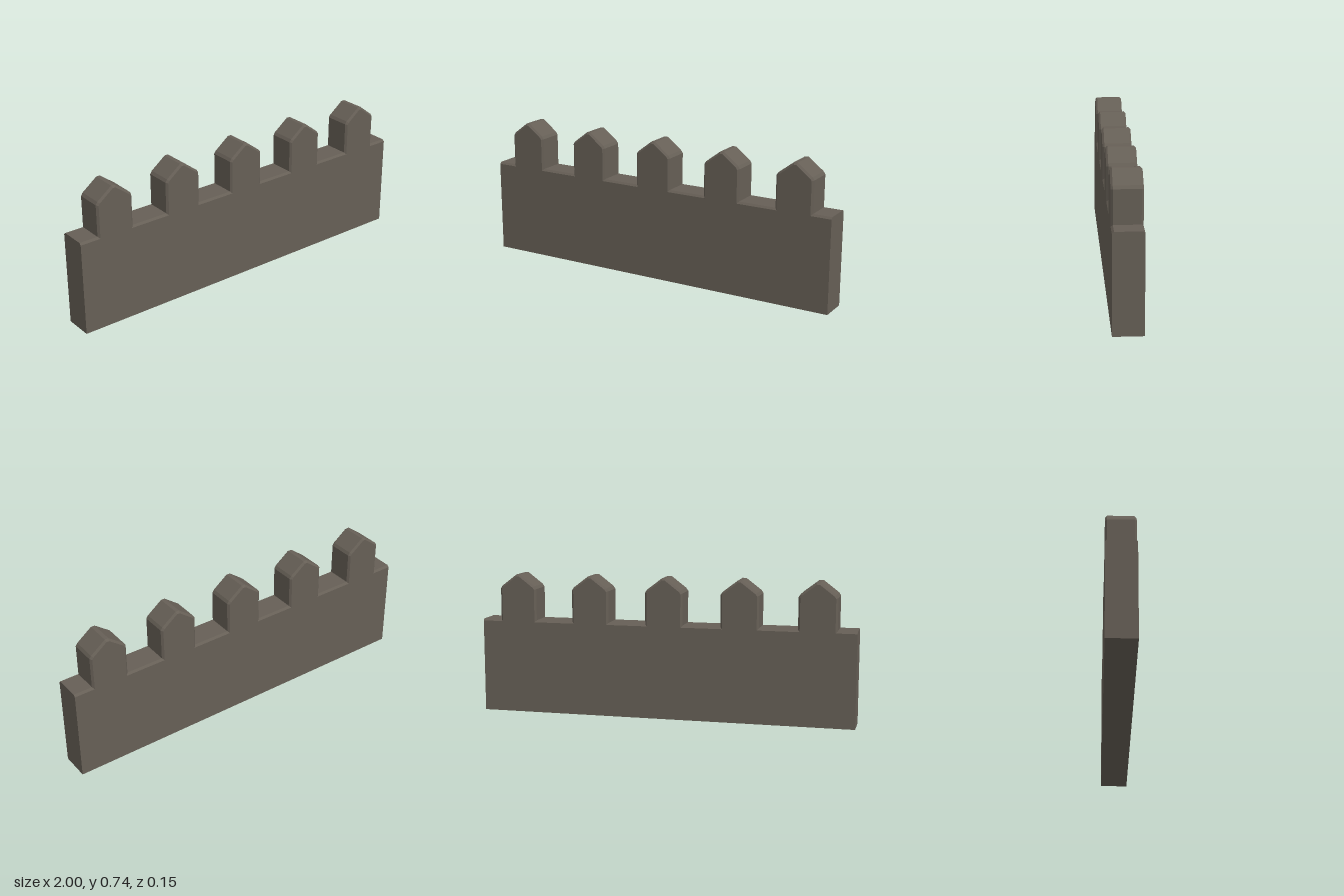
import * as THREE from 'three';

const HALF_DEPTH = 0.075, CHAMFER = 0.01;

// Wall outline, counter-clockwise, with five pointed merlons
function wallOutline() {
  const merlon = [
    [0.1, 0.5], [0.1, 0.667], [0.09, 0.682], [0.01, 0.743],
    [-0.01, 0.743], [-0.09, 0.682], [-0.1, 0.667], [-0.1, 0.5],
  ];
  const points = [[-1, 0], [1, 0], [1, 0.5]];
  for (let i = 2; i >= -2; i--) {
    for (const [x, y] of merlon) points.push([x + i * 0.4, y]);
  }
  points.push([-1, 0.5]);
  return points.map(([x, y]) => new THREE.Vector2(x, y));
}

// Moves each edge inward by its own distance and mitres the corners
function insetOutline(points, distance) {
  const n = points.length;
  const normals = points.map((p, i) => {
    const e = points[(i + 1) % n].clone().sub(p).normalize();
    return new THREE.Vector2(-e.y, e.x);
  });
  return points.map((p, i) => {
    const j = (i + n - 1) % n;
    const a = normals[j], b = normals[i], da = distance(j), db = distance(i);
    const det = a.x * b.y - a.y * b.x;
    return new THREE.Vector2(
      p.x + (da * b.y - db * a.y) / det,
      p.y + (a.x * db - b.x * da) / det,
    );
  });
}

function wallGeometry() {
  const outer = wallOutline();
  const n = outer.length;
  // The base and both ends stay square; the battlement edges are chamfered
  const inner = insetOutline(outer, (i) => (i < 2 || i === n - 1 ? 0 : CHAMFER));
  const loops = [
    [inner, HALF_DEPTH], [outer, HALF_DEPTH - CHAMFER],
    [outer, CHAMFER - HALF_DEPTH], [inner, -HALF_DEPTH],
  ];
  const positions = [];
  const add = (loop, i) => positions.push(loop[0][i].x, loop[0][i].y, loop[1]);

  // Chamfers and edge surfaces
  for (let k = 0; k < 3; k++) {
    const f = loops[k], b = loops[k + 1];
    for (let i = 0; i < n; i++) {
      const j = (i + 1) % n;
      add(f, i); add(b, i); add(b, j);
      add(f, i); add(b, j); add(f, j);
    }
  }
  // Front and back faces
  for (const [a, b, c] of THREE.ShapeUtils.triangulateShape(inner, [])) {
    add(loops[0], a); add(loops[0], b); add(loops[0], c);
    add(loops[3], a); add(loops[3], c); add(loops[3], b);
  }
  const geometry = new THREE.BufferGeometry();
  geometry.setAttribute('position', new THREE.Float32BufferAttribute(positions, 3));
  geometry.computeVertexNormals();
  return geometry;
}

export function createModel() {
  const stone = new THREE.MeshStandardMaterial({ color: 0x665f56 });
  stone.name = 'stone';
  const wall = new THREE.Mesh(wallGeometry(), stone);
  wall.name = 'battlementWall';
  const group = new THREE.Group();
  group.name = 'battlement';
  group.add(wall);
  return group;
}
